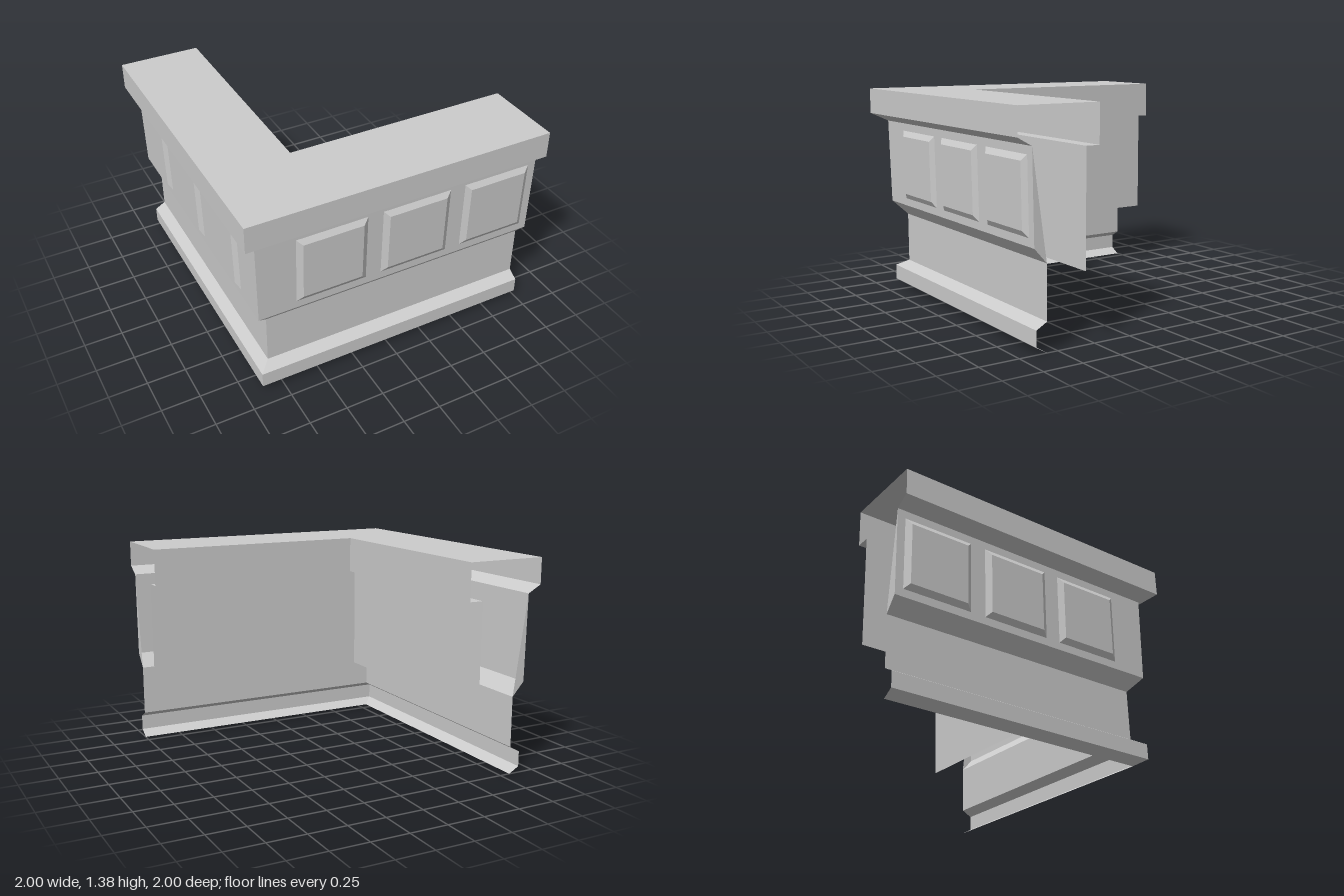
import * as THREE from 'three';

// Section of the counter shell as [distance from centre, height],
// from the inner sheet over the top and down the outer face.
const PROFILE = [
  [0.56, 0.43], [0.56, 1.14], [0.47, 1.14], [0.47, 1.38], [1, 1.38], [1, 1.21],
  [0.91, 1.16], [0.9, 0.6], [0.82, 0.51], [0.82, 0.18], [0.89, 0.14], [0.89, 0.04], [0.82, 0],
];
const PARTS = [
  ['innerSheet', 0, 1], ['counterTop', 1, 6], ['upperFace', 6, 8],
  ['lowerFace', 8, 9], ['baseMoulding', 9, 12],
];

// Flat-shaded mesh from convex polygons with counter-clockwise corners.
function faceMesh(name, polygons, material) {
  const positions = [];
  for (const poly of polygons) {
    for (let i = 1; i < poly.length - 1; i++) {
      positions.push(...poly[0], ...poly[i], ...poly[i + 1]);
    }
  }
  const geometry = new THREE.BufferGeometry();
  geometry.setAttribute('position', new THREE.Float32BufferAttribute(positions, 3));
  geometry.computeVertexNormals();
  const mesh = new THREE.Mesh(geometry, material);
  mesh.name = name;
  return mesh;
}

// Strips of the section, mitred at the corner and cut square at the far end.
function profileFaces(from, to) {
  const faces = [];
  for (let i = from; i < to; i++) {
    const [d0, y0] = PROFILE[i];
    const [d1, y1] = PROFILE[i + 1];
    faces.push([[-d0, y0, d0], [-d1, y1, d1], [1, y1, d1], [1, y0, d0]]);
  }
  return faces;
}

// Raised panel with bevelled edges, following the slight lean of the face.
function panelFaces(x0) {
  const ring = (inset, raise) => {
    const l = x0 + inset, r = x0 + 0.465 - inset;
    const b = 0.65 + inset, t = 1.11 - inset;
    const z = (y) => 0.9 + (y - 0.6) * 0.018 + raise;
    return [[l, b, z(b)], [r, b, z(b)], [r, t, z(t)], [l, t, z(t)]];
  };
  const outer = ring(0, 0), inner = ring(0.036, 0.022);
  const sides = outer.map((p, i) => {
    const j = (i + 1) % 4;
    return [p, outer[j], inner[j], inner[i]];
  });
  return [inner, ...sides];
}

// Reflects a front-wing face across the mitre onto the side wing.
const reflect = (poly) => poly.map(([x, y, z]) => [-z, y, -x]).reverse();

export function createModel() {
  const model = new THREE.Group();
  model.name = 'cornerCounter';
  const material = new THREE.MeshStandardMaterial({
    color: 0xcccccc, flatShading: true, side: THREE.DoubleSide,
  });

  for (const wingName of ['frontWing', 'sideWing']) {
    const wing = new THREE.Group();
    wing.name = wingName;
    const add = (name, faces) => {
      const placed = wingName === 'sideWing' ? faces.map(reflect) : faces;
      wing.add(faceMesh(name, placed, material));
    };
    for (const [name, from, to] of PARTS) add(name, profileFaces(from, to));
    // Thin web closing the open end of the upper face
    add('endWeb', [[8, 7, 6].map((i) => [1, PROFILE[i][1], PROFILE[i][0]])]);
    for (const x of [-0.655, -0.087, 0.482]) add('raisedPanel', panelFaces(x));
    model.add(wing);
  }
  return model;
}
